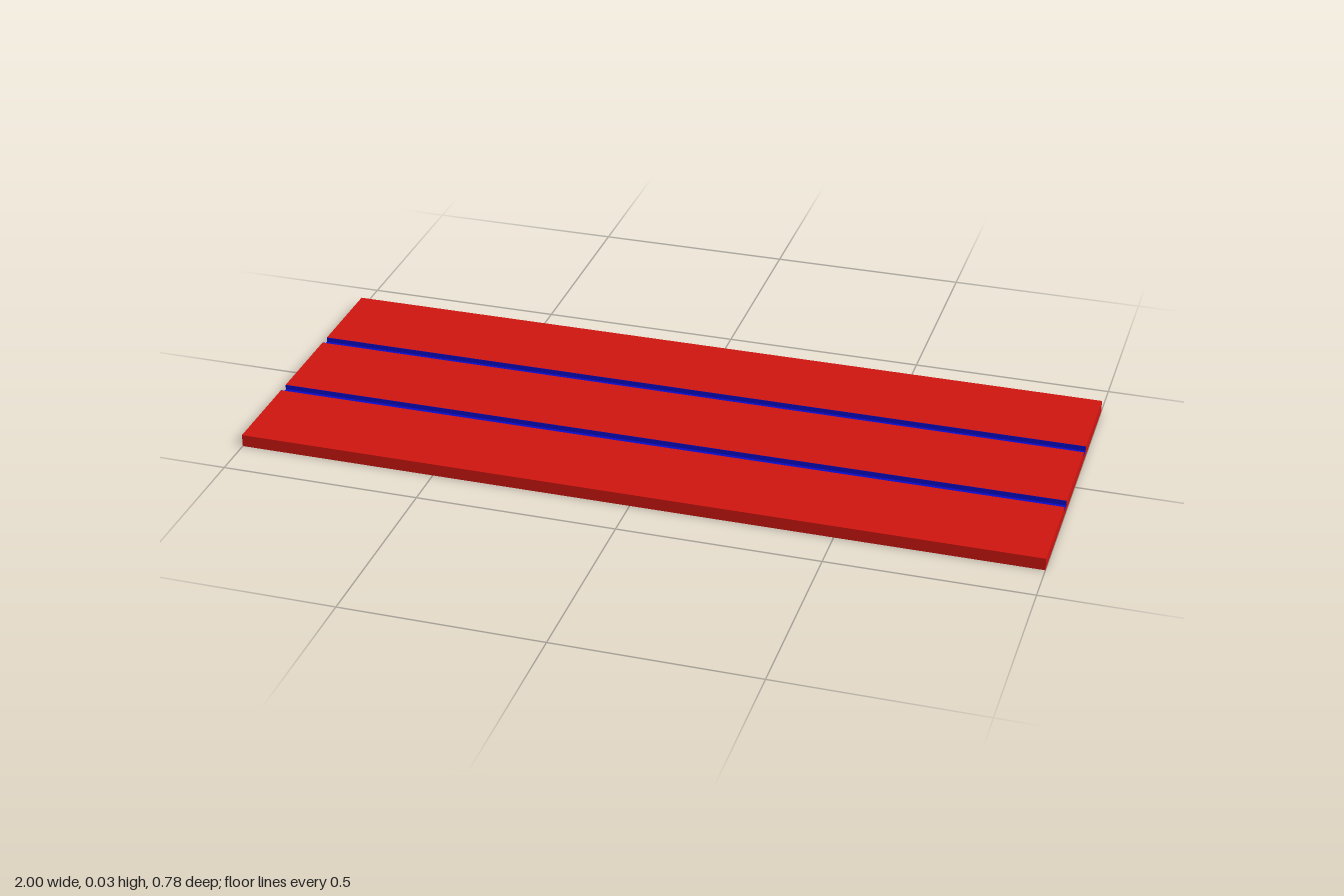
import * as THREE from 'three';

const LENGTH = 2, HALF_WIDTH = 0.39, HEIGHT = 0.031;
const GROOVE_IN = 0.12, GROOVE_OUT = 0.15, FLOOR = 0.019, SKIN = 0.001;
const INLAY_LENGTH = 1.77;

const red = new THREE.MeshStandardMaterial({ color: 0xd01510 });
const blue = new THREE.MeshStandardMaterial({ color: 0x0a0ac8 });

export function createModel() {
  const model = new THREE.Group();
  model.name = 'groovedBoard';

  // Box given by its x, y and z ranges
  const box = (name, material, [x0, x1], [y0, y1], [z0, z1]) => {
    const mesh = new THREE.Mesh(new THREE.BoxGeometry(x1 - x0, y1 - y0, z1 - z0), material);
    mesh.position.set((x0 + x1) / 2, (y0 + y1) / 2, (z0 + z1) / 2);
    mesh.name = name;
    model.add(mesh);
  };
  const full = [-LENGTH / 2, LENGTH / 2];
  const inlay = INLAY_LENGTH / 2;

  // Middle plank between the grooves
  box('middlePlank', red, full, [0, HEIGHT], [-GROOVE_IN, GROOVE_IN]);

  for (const side of [-1, 1]) {
    const span = (a, b) => (side > 0 ? [a, b] : [-b, -a]);
    const groove = span(GROOVE_IN, GROOVE_OUT);

    // Outer plank
    box('outerPlank', red, full, [0, HEIGHT], span(GROOVE_OUT, HALF_WIDTH));

    // Blue lining of the groove: floor and two walls
    box('grooveFloor', blue, full, [FLOOR - SKIN, FLOOR], groove);
    box('grooveWall', blue, full, [FLOOR, HEIGHT], span(GROOVE_IN, GROOVE_IN + SKIN));
    box('grooveWall', blue, full, [FLOOR, HEIGHT], span(GROOVE_OUT - SKIN, GROOVE_OUT));

    // Strip under the groove: blue inlay with a red block at each end
    box('bottomInlay', blue, [-inlay, inlay], [0, FLOOR - SKIN], groove);
    box('inlayEnd', red, [-LENGTH / 2, -inlay], [0, FLOOR - SKIN], groove);
    box('inlayEnd', red, [inlay, LENGTH / 2], [0, FLOOR - SKIN], groove);
  }
  return model;
}
